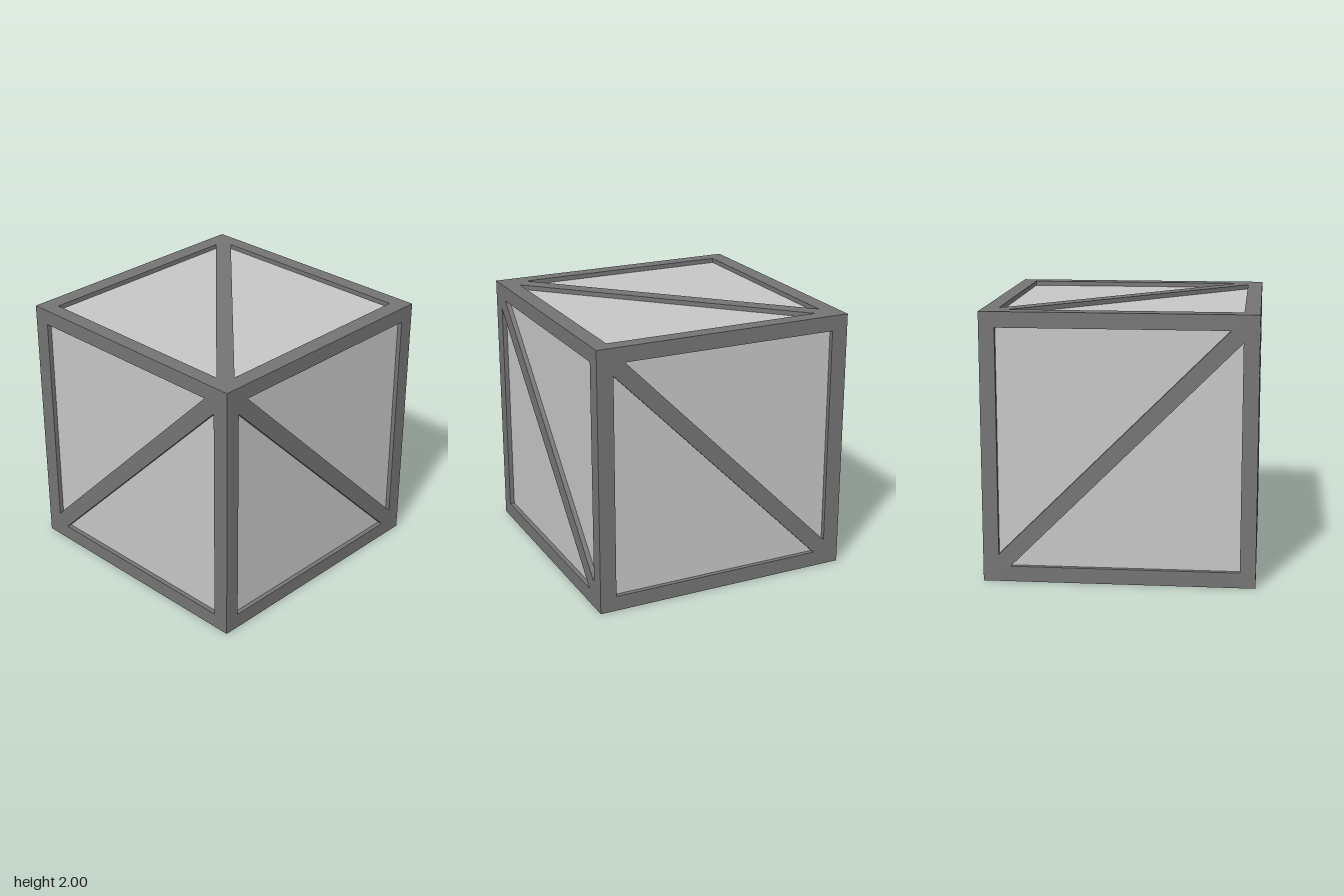
import * as THREE from 'three';

const frameMat = new THREE.MeshStandardMaterial({ color: 0x747474 });
frameMat.name = 'dark grey frame';
const panelMat = new THREE.MeshStandardMaterial({ color: 0xc6c6c6 });
panelMat.name = 'light grey panel';

const W = 0.115;      // beam width along x and y
const D = 0.125;      // beam width along z
const RECESS = 0.035; // how far the panels sit behind the frame
const BRACE = 0.06;   // brace depth, partly sunk into the panels

function addBox(parent, name, mat, size, pos) {
  const mesh = new THREE.Mesh(new THREE.BoxGeometry(...size), mat);
  mesh.name = name;
  mesh.position.set(...pos);
  parent.add(mesh);
}

// Diagonal strip from upper left to lower right, clipped to its opening
function braceGeometry(a, b) {
  const c = 0.087;
  const shape = new THREE.Shape([
    [-a, b], [-a, b - c], [a - c, -b], [a, -b], [a, c - b], [c - a, b],
  ].map(([x, y]) => new THREE.Vector2(x, y)));
  return new THREE.ExtrudeGeometry(shape, { depth: BRACE, bevelEnabled: false })
    .translate(0, 0, -BRACE / 2);
}

export function createModel() {
  const crate = new THREE.Group();
  crate.name = 'crate';
  const body = new THREE.Group(); // built around its centre
  body.position.y = 1;
  crate.add(body);

  // Recessed panels as one inner box
  const inner = 2 - 2 * RECESS;
  addBox(body, 'panels', panelMat, [inner, inner, inner], [0, 0, 0]);

  // Twelve edge beams
  const frame = new THREE.Group();
  frame.name = 'frame';
  body.add(frame);
  const x = 1 - W / 2, z = 1 - D / 2;
  for (const s of [-1, 1]) {
    for (const t of [-1, 1]) {
      addBox(frame, 'cornerPost', frameMat, [W, 2, D], [s * x, 0, t * z]);
      addBox(frame, 'widthRail', frameMat, [2 - 2 * W, W, D], [0, s * x, t * z]);
      addBox(frame, 'depthRail', frameMat, [W, W, 2 - 2 * D], [s * x, t * x, 0]);
    }
  }

  // One diagonal brace per face; opposite faces run parallel
  const a = 1 - W, b = 1 - D;
  const pairs = [
    ['frontBackBrace', braceGeometry(a, a), [0, 0, 1]],
    ['sideBrace', braceGeometry(b, a).rotateY(Math.PI / 2), [1, 0, 0]],
    ['topBottomBrace', braceGeometry(a, b).rotateX(Math.PI / 2), [0, 1, 0]],
  ];
  for (const [name, geometry, axis] of pairs) {
    for (const s of [-1, 1]) {
      const brace = new THREE.Mesh(geometry, frameMat);
      brace.name = name;
      brace.position.set(...axis).multiplyScalar(s * (1 - BRACE / 2));
      body.add(brace);
    }
  }
  return crate;
}
